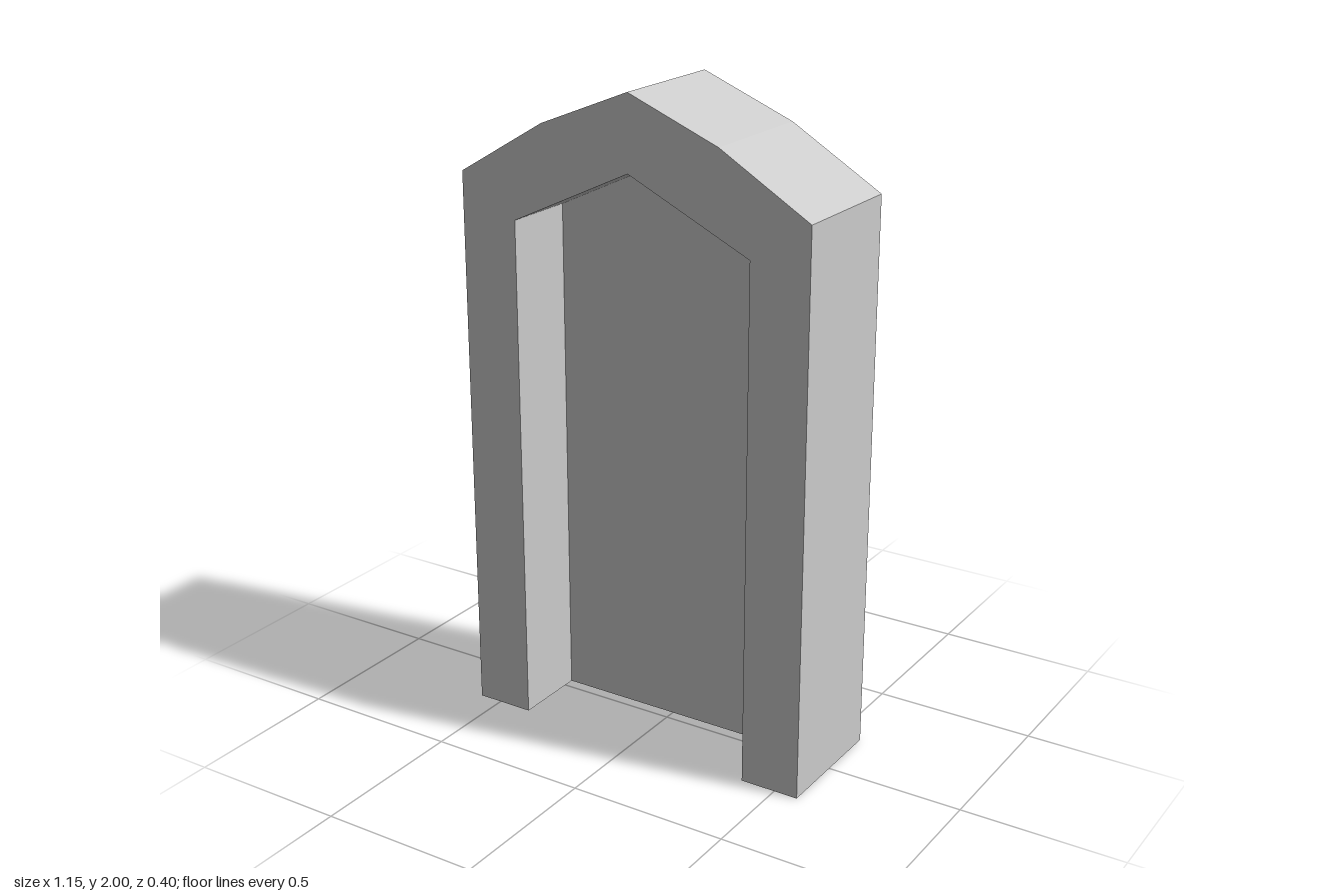
import * as THREE from 'three';

// Mirror a right-hand profile (bottom to peak) into a full left-to-right outline
const mirror = (half) => [
  ...half,
  ...half.filter(([x]) => x > 0).reverse().map(([x, y]) => [-x, y]),
];

const outer = mirror([[0.575, 0], [0.575, 1.713], [0.29, 1.883], [0, 2]]);
const opening = mirror([[0.39, 0], [0.39, 1.59], [0, 1.775]]);

const BACK = -0.2, FRONT = 0.2, RECESS = -0.035;

export function createModel() {
  const group = new THREE.Group();
  group.name = 'archedNiche';
  const material = new THREE.MeshStandardMaterial({ color: 0xcccccc, flatShading: true });

  const addSlab = (name, points, z0, z1) => {
    const shape = new THREE.Shape(points.map(([x, y]) => new THREE.Vector2(x, y)));
    const geometry = new THREE.ExtrudeGeometry(shape, { depth: z1 - z0, bevelEnabled: false });
    geometry.translate(0, 0, z0);
    const mesh = new THREE.Mesh(geometry, material);
    mesh.name = name;
    group.add(mesh);
  };

  // Solid wall closing the niche
  addSlab('backWall', outer, BACK, RECESS);

  // Pointed arch surround, open at the ground
  addSlab('archFrame', [...outer, ...[...opening].reverse()], RECESS, FRONT);

  return group;
}
